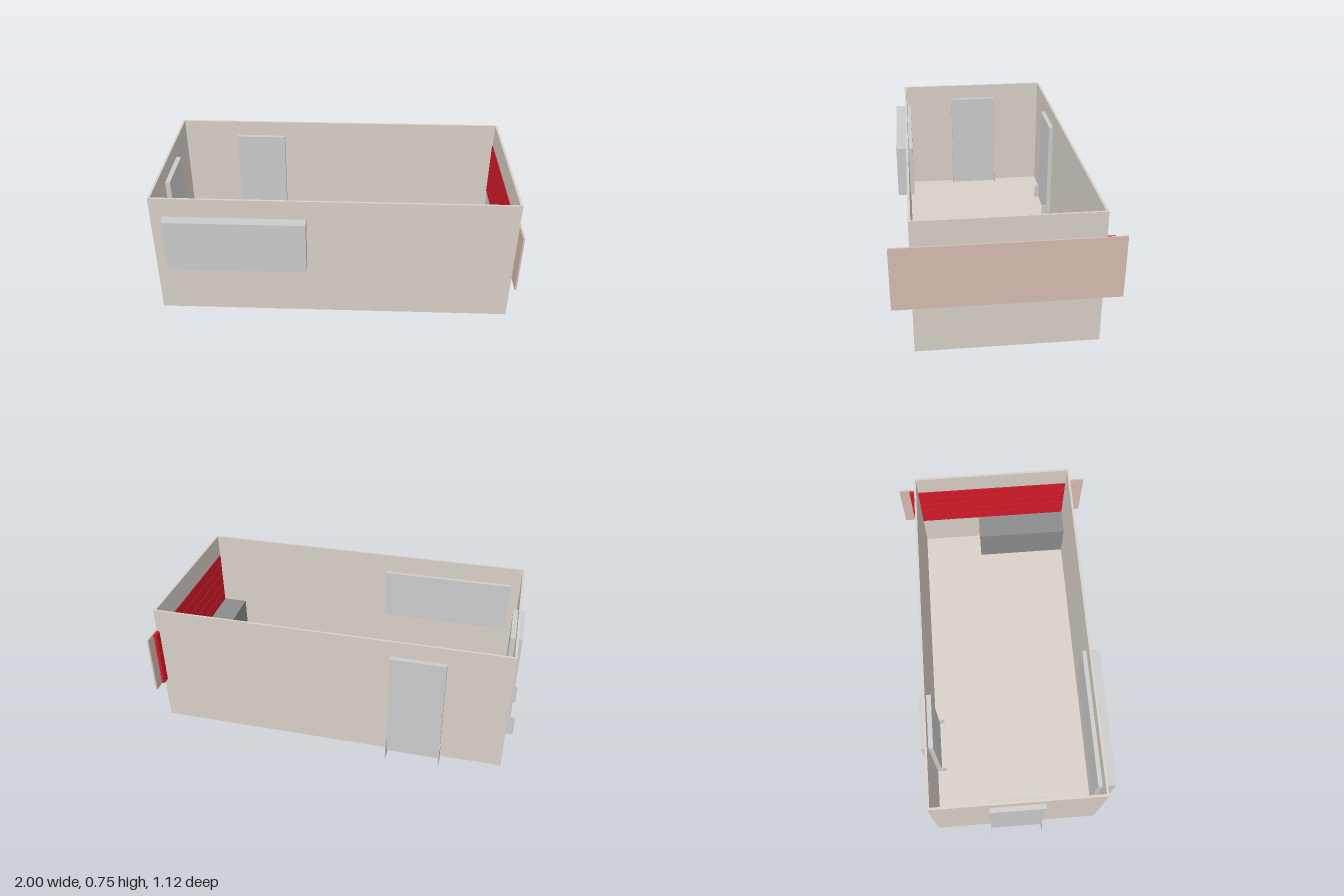
import * as THREE from 'three';

const mat = (color) => new THREE.MeshStandardMaterial({ color });
const grey = mat(0xcccccc);
const plaster = mat(0xd8d0c8);
const boardColor = mat(0xd8bcb2);
const red = mat(0xd41a2a);
const dark = mat(0x8c8c8c);

// Box given by its extents on each axis
function box(name, [x0, x1], [y0, y1], [z0, z1], material = grey) {
  const mesh = new THREE.Mesh(new THREE.BoxGeometry(x1 - x0, y1 - y0, z1 - z0), material);
  mesh.position.set((x0 + x1) / 2, (y0 + y1) / 2, (z0 + z1) / 2);
  mesh.name = name;
  return mesh;
}

// Door slab facing +z at its own origin, with a thin foot plate on each edge
function door(name, width) {
  const g = new THREE.Group();
  g.name = name;
  const w = width / 2;
  g.add(box('doorSlab', [-w, w], [0.035, 0.66], [-0.0325, 0.0325]));
  for (const s of [-1, 1]) {
    g.add(box('footPlate', [s * w - 0.002, s * w + 0.002], [0, 0.122], [-0.06, 0.06]));
  }
  return g;
}

export function createModel() {
  const model = new THREE.Group();
  model.name = 'room';

  // Open-topped shell
  const X = [-0.945, 0.99], Y = [0.03, 0.75], Z = [-0.46, 0.46], t = 0.012;
  model.add(
    box('floor', X, [0.03, 0.042], Z, plaster),
    box('frontWall', X, Y, [Z[1] - t, Z[1]], plaster),
    box('backWall', X, Y, [Z[0], Z[0] + t], plaster),
    box('leftWall', [X[1] - t, X[1]], Y, [Z[0] + t, Z[1] - t], plaster),
    box('rightWall', [X[0], X[0] + t], Y, [Z[0] + t, Z[1] - t], plaster),
  );

  // Window block passing through the front wall
  model.add(box('window', [-0.875, -0.12], [0.34, 0.64], [0.425, 0.52]));

  // Doors in the back and right walls
  const backDoor = door('backDoor', 0.295);
  backDoor.position.set(-0.4625, 0, -0.455);
  backDoor.rotation.y = Math.PI;
  const sideDoor = door('sideDoor', 0.295);
  sideDoor.position.set(-0.938, 0, -0.0025);
  sideDoor.rotation.y = -Math.PI / 2;
  model.add(backDoor, sideDoor);

  // Long board outside the left wall, with a red tiled lining behind it
  model.add(box('board', [0.991, 1], [0.285, 0.62], [-0.56, 0.56], boardColor));
  model.add(box('liningBack', [0.977, 0.9915], [0.287, 0.617], [-0.5, 0.448], red));
  const columns = [-0.5, -0.3, 0, 0.3, 0.448], rows = 5, rowHeight = 0.066;
  for (let r = 0; r < rows; r++) {
    const y = 0.287 + r * rowHeight;
    for (let c = 0; c < columns.length - 1; c++) {
      model.add(box('liningTile', [0.974, 0.978], [y + 0.002, y + rowHeight - 0.002],
        [columns[c] + 0.002, columns[c + 1] - 0.002], red));
    }
  }

  // Low counter in the corner
  model.add(box('counter', [0.83, 0.98], [0.04, 0.29], [-0.09, 0.45], dark));

  return model;
}
